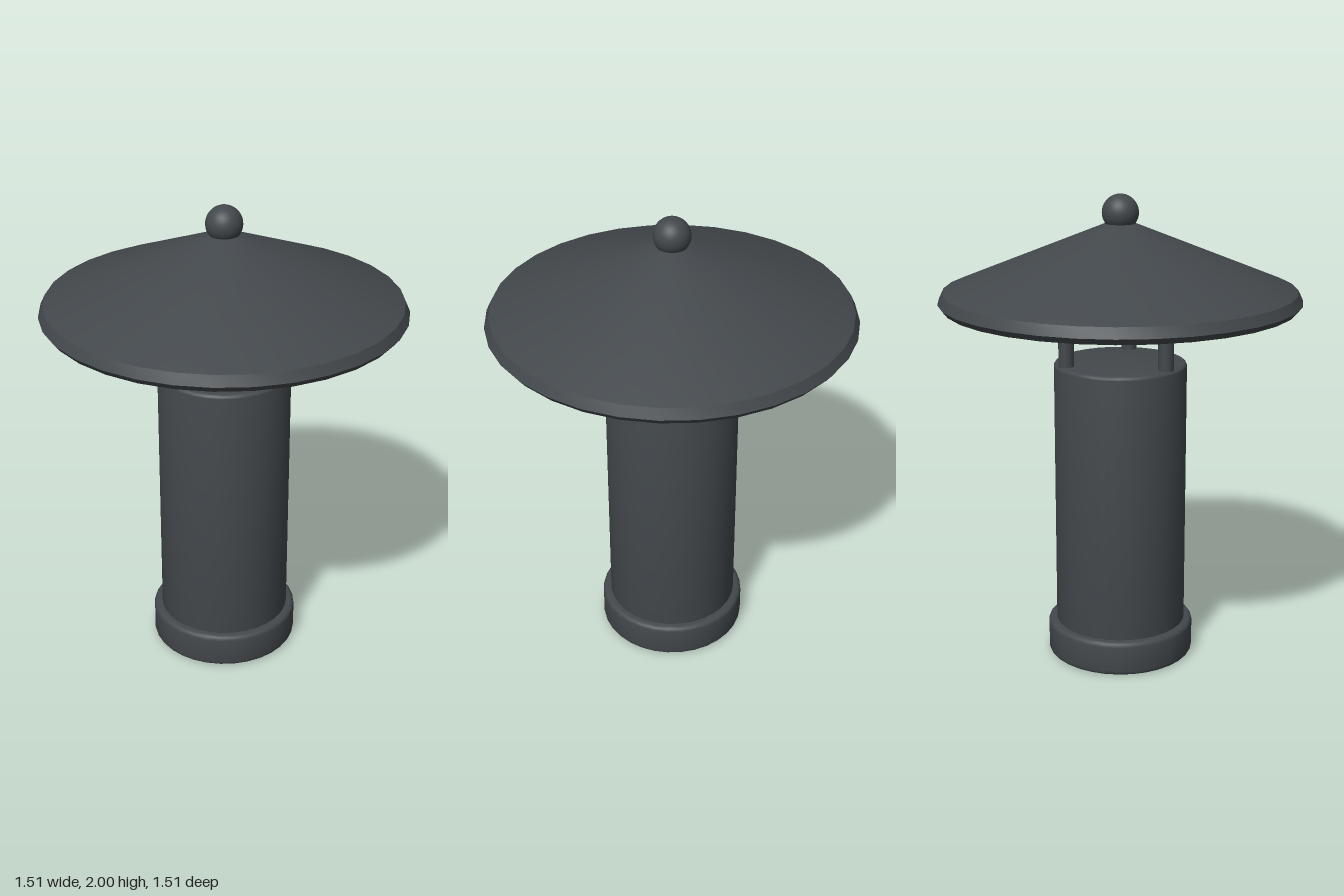
import * as THREE from 'three';
import { toCreasedNormals } from 'three/addons/utils/BufferGeometryUtils.js';

export function createModel() {
  const group = new THREE.Group();
  const metal = new THREE.MeshStandardMaterial({ color: 0x43484c });
  metal.name = 'dark grey metal';

  const add = (name, geometry, x = 0, y = 0, z = 0) => {
    const mesh = new THREE.Mesh(geometry, metal);
    mesh.name = name;
    mesh.position.set(x, y, z);
    group.add(mesh);
  };

  // Turned part with sharp creases, from a profile of [radius, height]
  const turned = (profile) => toCreasedNormals(
    new THREE.LatheGeometry(profile.map(([r, y]) => new THREE.Vector2(r, y)), 32), 0.5);

  // Closed drum with rounded edges
  const drum = (radius, y0, y1, bevel) => {
    const profile = [[0, y0]];
    const steps = 4;
    for (const top of [false, true]) {
      for (let i = 0; i <= steps; i++) {
        const a = (i / steps - (top ? 0 : 1)) * Math.PI / 2;
        profile.push([
          radius - bevel + bevel * Math.cos(a),
          (top ? y1 - bevel : y0 + bevel) + bevel * Math.sin(a),
        ]);
      }
    }
    profile.push([0, y1]);
    return turned(profile);
  };

  add('base', drum(0.315, 0, 0.15, 0.02));
  add('body', drum(0.28, 0.01, 1.3, 0.015));

  // Three posts holding up the roof, one at the back
  for (let i = 0; i < 3; i++) {
    const a = Math.PI + i * Math.PI * 2 / 3;
    add('post' + (i + 1), new THREE.CylinderGeometry(0.033, 0.033, 0.46, 12),
      0.24 * Math.sin(a), 1.5, 0.24 * Math.cos(a));
  }

  // Hollow conical roof with a bevelled rim
  add('roof', turned([
    [0, 1.82], [0.69, 1.54], [0.735, 1.54], [0.755, 1.565], [0.735, 1.607], [0, 1.905],
  ]));

  add('finial', new THREE.SphereGeometry(0.076, 32, 20), 0, 1.924, 0);
  return group;
}
